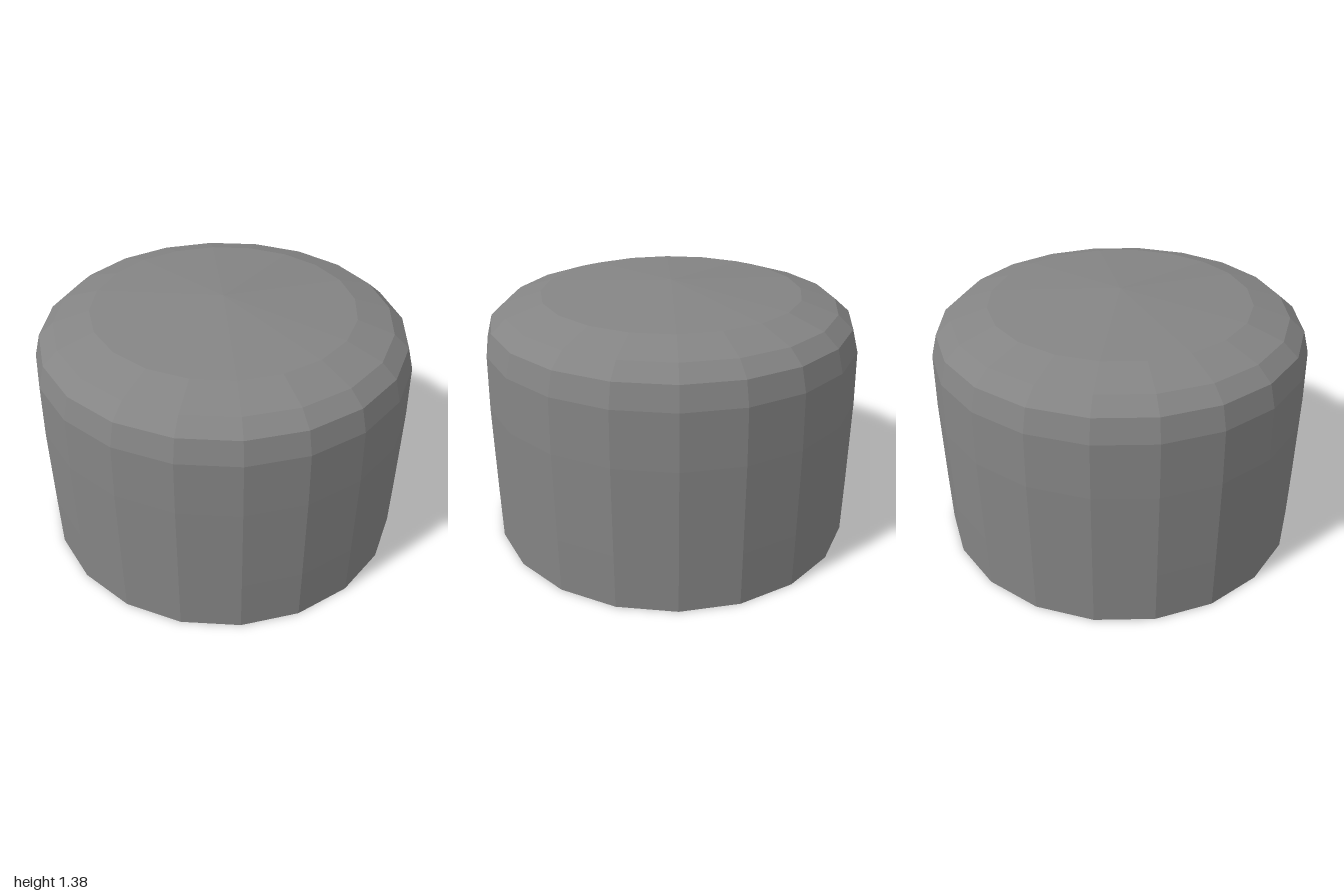
import * as THREE from 'three';

export function createModel() {
  const group = new THREE.Group();
  group.name = 'roundedCap';

  // Barely bulging wall, rounded shoulder and shallow conical top; open underneath
  const profile = [
    [0.995, 0], [0.998, 0.3], [1, 0.78], [0.992, 1.07],
    [0.96, 1.19], [0.88, 1.26], [0.69, 1.32], [0, 1.375],
  ].map(([r, y]) => new THREE.Vector2(r, y));

  const shell = new THREE.Mesh(
    new THREE.LatheGeometry(profile, 20),
    new THREE.MeshStandardMaterial({
      color: 0x848484,
      flatShading: true,
      side: THREE.DoubleSide,
    })
  );
  shell.name = 'capShell';
  group.add(shell);

  return group;
}
